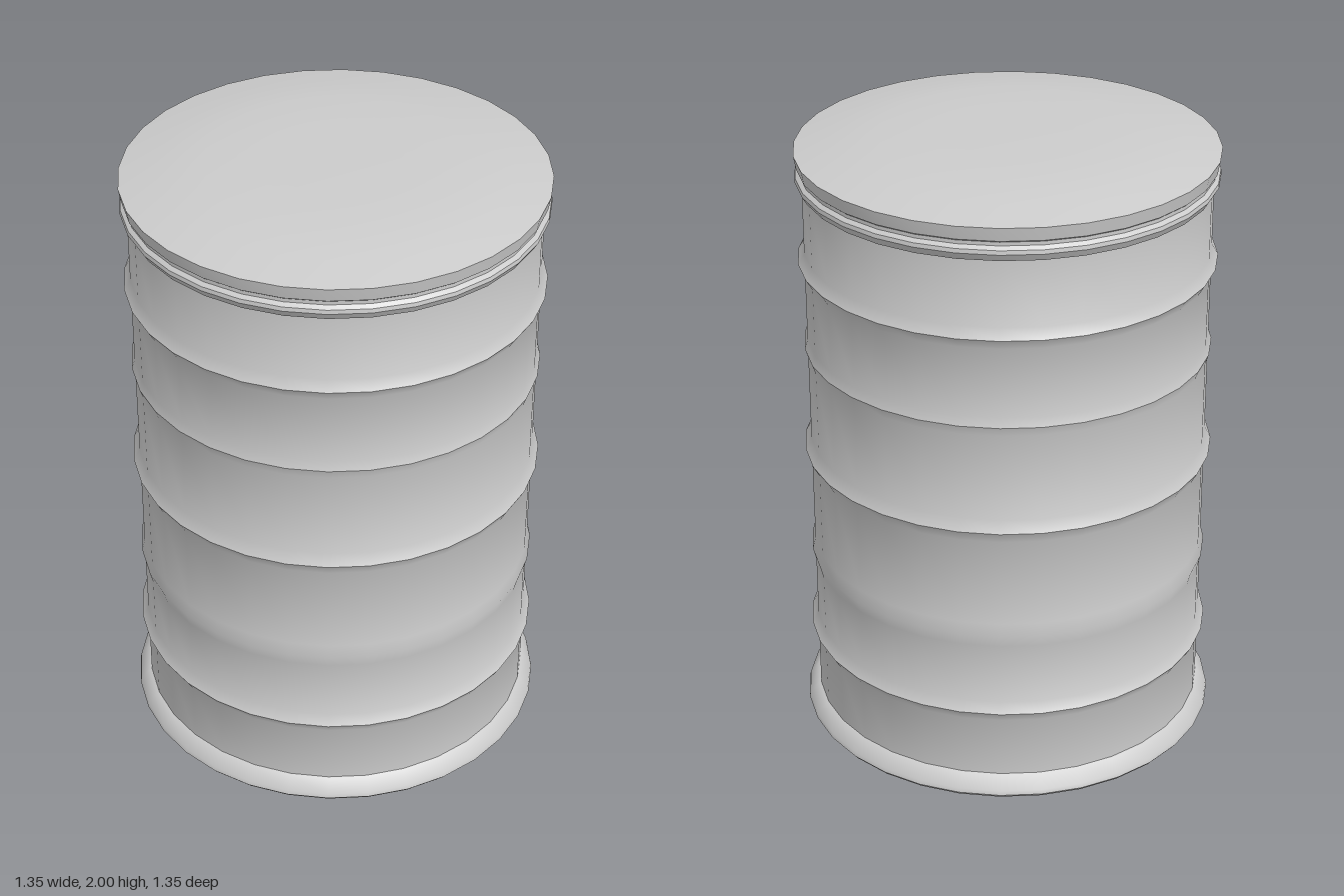
import * as THREE from 'three';
import { toCreasedNormals } from 'three/addons/utils/BufferGeometryUtils.js';

const SIDES = 32;
const WALL = 0.635;

export function createModel() {
  const drum = new THREE.Group();
  drum.name = 'drum';
  const material = new THREE.MeshStandardMaterial({ color: 0xcccccc, side: THREE.DoubleSide });

  // Revolves a [radius, height] profile, listed from bottom to top
  const addLathe = (name, profile) => {
    const points = profile.map(([r, y]) => new THREE.Vector2(r, y));
    const geometry = toCreasedNormals(new THREE.LatheGeometry(points, SIDES), 0.63);
    const mesh = new THREE.Mesh(geometry, material);
    mesh.name = name;
    drum.add(mesh);
  };

  // Base: flat underside and flared foot rim
  addLathe('base', [[0, 0], [0.665, 0], [0.675, 0.012], [0.672, 0.026], [0.64, 0.066], [WALL, 0.068]]);

  // Body wall with five pointed hoops: [height, radius, half width]
  const hoops = [
    [0.305, 0.655, 0.034],
    [0.585, 0.645, 0.04],
    [0.955, 0.655, 0.038],
    [1.31, 0.645, 0.03],
    [1.6, 0.655, 0.034],
  ];
  const wall = [[WALL, 0.068]];
  for (const [y, r, h] of hoops) wall.push([WALL, y - h], [r, y], [WALL, y + h]);
  wall.push([WALL, 1.85]);
  addLathe('body', wall);

  // Clamping ring under the lid
  addLathe('clampRing', [[WALL, 1.845], [0.642, 1.848], [0.656, 1.872], [0.654, 1.885], [0.642, 1.895], [0.642, 1.912]]);

  // Lid: short skirt and a shallow domed top
  addLathe('lid', [
    [0.64, 1.905], [0.649, 1.912], [0.657, 1.955],
    [0.54, 1.978], [0.4, 1.997], [0.2, 2], [0, 2],
  ]);

  return drum;
}
